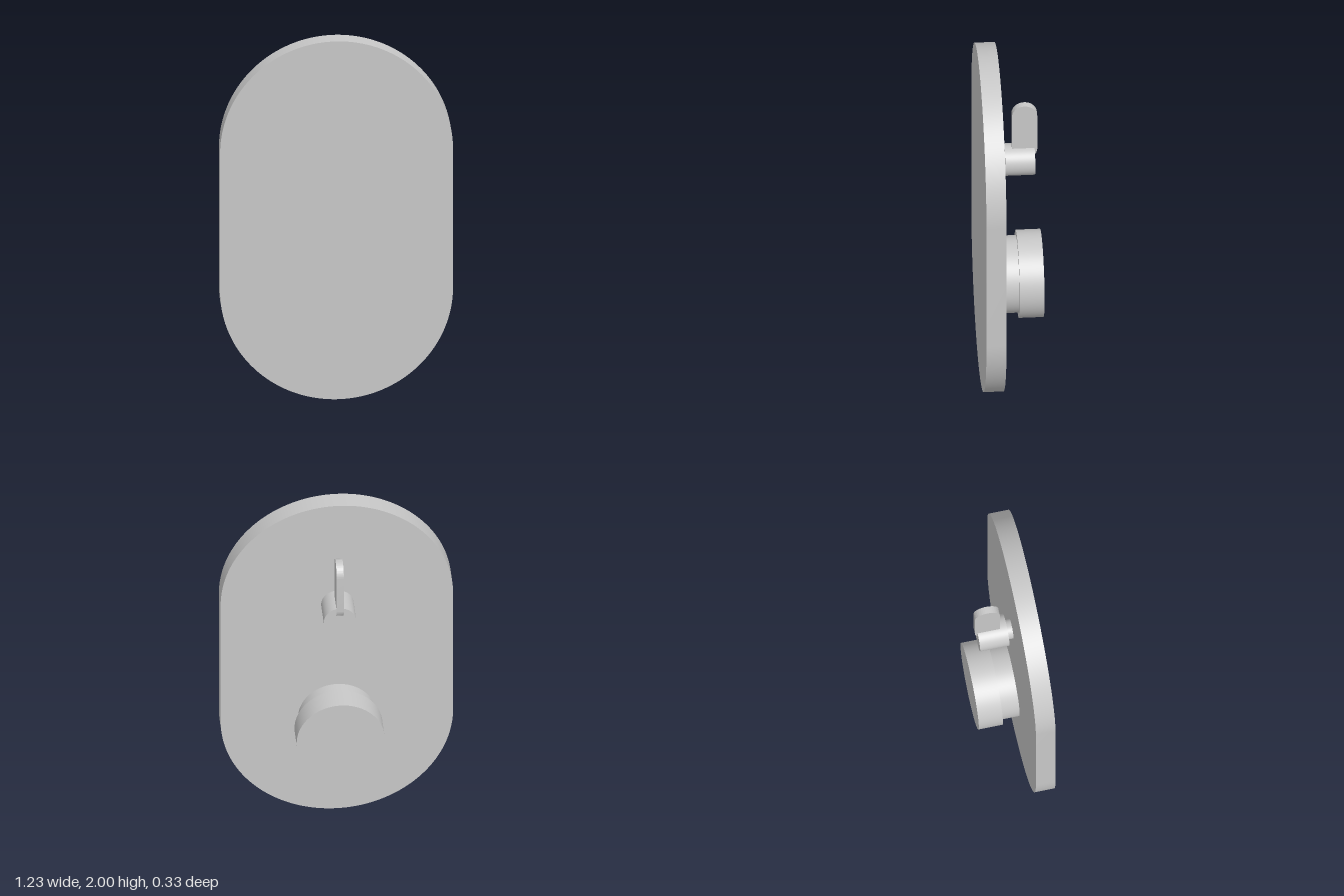
import * as THREE from 'three';
import { toCreasedNormals } from 'three/addons/utils/BufferGeometryUtils.js';

const metal = new THREE.MeshStandardMaterial({ color: 0xc8c8c8 });
metal.name = 'light grey metal';

// Upright slab with fully rounded ends, extruded along z and centred in x and z
function roundEndedSlab(radius, y0, y1, depth) {
  const shape = new THREE.Shape();
  shape.absarc(0, y1 - radius, radius, 0, Math.PI, false);
  shape.absarc(0, y0 + radius, radius, Math.PI, Math.PI * 2, false);
  shape.closePath();
  const geometry = new THREE.ExtrudeGeometry(shape, { depth, bevelEnabled: false, curveSegments: 48 });
  geometry.translate(0, 0, -depth / 2);
  return toCreasedNormals(geometry, 0.5);
}

export function createModel() {
  const group = new THREE.Group();
  group.name = 'wallControl';

  const add = (name, geometry) => {
    const mesh = new THREE.Mesh(geometry, metal);
    mesh.name = name;
    group.add(mesh);
    return mesh;
  };

  // Disc lying along z between two depths
  const disc = (name, radius, y, zBack, zFront) => {
    const geometry = new THREE.CylinderGeometry(radius, radius, zFront - zBack, 72);
    geometry.rotateX(Math.PI / 2);
    add(name, geometry).position.set(0, y, (zBack + zFront) / 2);
  };

  // Backing plate
  add('plate', roundEndedSlab(0.615, 0, 2, 0.106)).position.z = 0.113;

  // Lower dial
  disc('dialCollar', 0.205, 0.617, -0.036, 0.06);
  disc('dialKnob', 0.233, 0.617, -0.166, -0.036);

  // Upper lever handle
  disc('leverStem', 0.053, 1.376, 0.031, 0.06);
  disc('leverBarrel', 0.086, 1.376, -0.127, 0.031);
  const lever = add('lever', roundEndedSlab(0.067, 1.39, 1.736, 0.038));
  lever.rotation.y = Math.PI / 2;
  lever.position.z = -0.074;

  return group;
}
